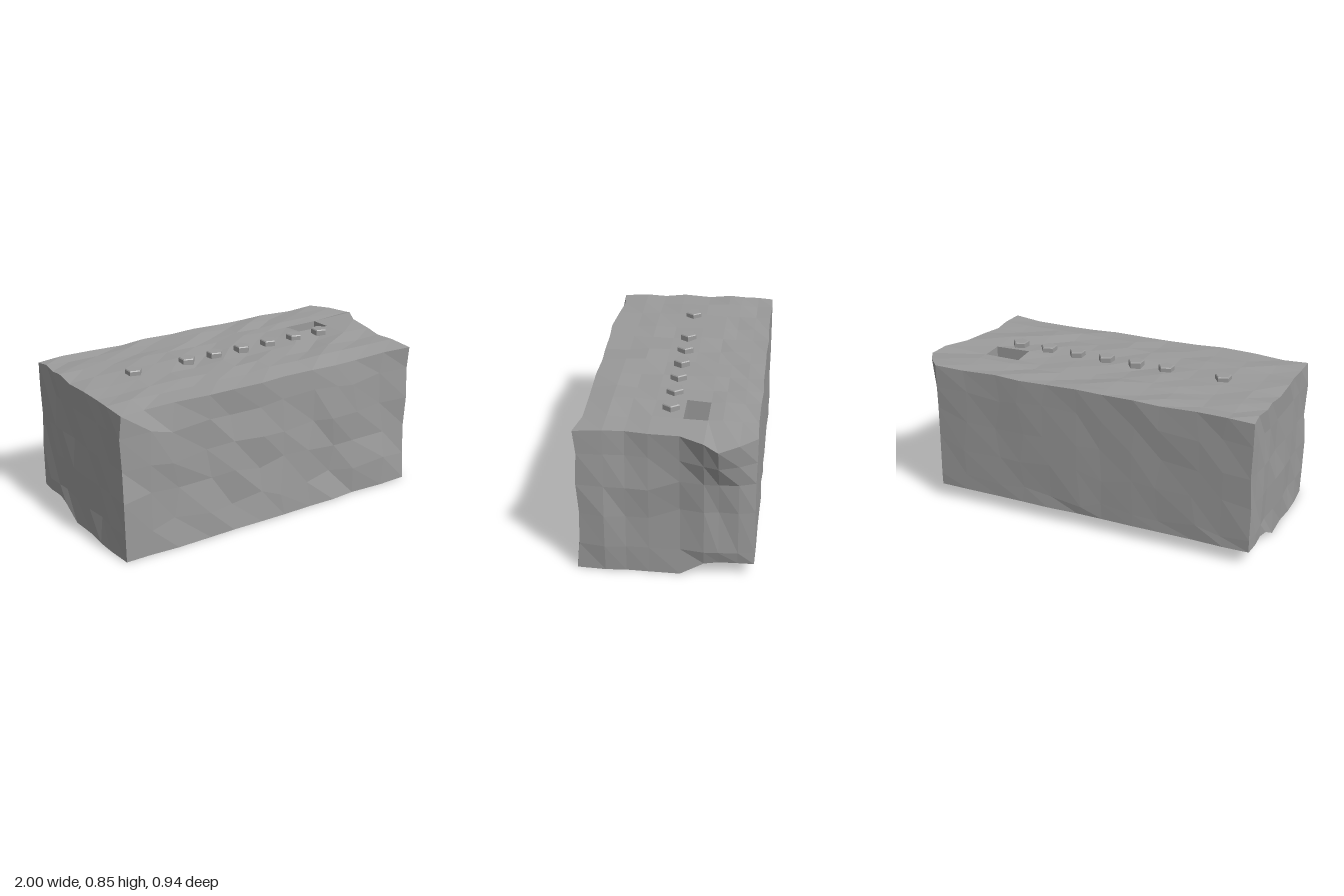
import * as THREE from 'three';

// Lattice lines of the rough block
const X = [-1, -0.85, -0.68, -0.48, -0.33, -0.15, 0, 0.18, 0.34, 0.485, 0.69, 0.86];
const Y = [0, 0.15, 0.33, 0.5, 0.68, 0.82];
const Z = [-0.47, -0.38, -0.28, -0.205, -0.08, 0.08, 0.2, 0.31, 0.47];
const NX = X.length - 1, NY = Y.length - 1, NZ = Z.length - 1;
const HOLE = { i: 9, k: 3, floor: 0.62 };

// Per-column or per-row rules: underside step and bulge on the right end
const UNDER = [0.08, 0.08, 0.08, 0.07, 0, 0, 0, 0, 0];
const BULGE = [0, 0.08, 0.14, 0.1, 0.03, 0.01, -0.015, -0.005, 0];
const BULGE_RISE = [0, 0.05, 0.1, 0.25, 0.65, 1];

function noise(a, b, seed) {
  const s = Math.sin(a * 12.99 + b * 78.23 + seed * 37.7) * 43758.55;
  return s - Math.floor(s);
}

// Weathered position of one lattice point
function point(i, j, k) {
  let x = X[i], y = Y[j], z = Z[k];
  if (j === 0) y = UNDER[k];
  if (j === NY) y += 0.003 - (k === NZ ? 0.01 : 0) - 0.016 * noise(i, k, 1);
  if (k === NZ) z -= (j ? 0.035 : 0.015) * noise(i, j, 2);
  if (k === 0) z += 0.008 * noise(i, j, 3);
  if (i === 0) x += 0.016 * noise(j, k, 4);
  if (i === NX) {
    x += BULGE[k] * BULGE_RISE[j];
    if (k > 0 && k < NZ) x += (j ? 0.026 : 0.01) * noise(j, k, 5) * (1 - BULGE_RISE[j]);
    if (k <= 4 && (j === 2 || j === 3)) y += 0.06;
    if (k === 2 && j === NY) y = 0.797;
  }
  if (j > 0 && j < NY && i > 0 && i < NX && (k === 0 || k === NZ)) {
    x += 0.05 * (noise(i, j, 6) - 0.5);
    y += 0.05 * (noise(i, j, 7) - 0.5);
  }
  return [x, y, z];
}

// Flat-faceted mesh from a list of counter-clockwise quads
function quadMesh(quads, name, material) {
  const positions = [];
  for (const [a, b, c, d] of quads) positions.push(...a, ...b, ...d, ...b, ...c, ...d);
  const geometry = new THREE.BufferGeometry();
  geometry.setAttribute('position', new THREE.Float32BufferAttribute(positions, 3));
  geometry.computeVertexNormals();
  const mesh = new THREE.Mesh(geometry, material);
  mesh.name = name;
  return mesh;
}

// Quads of one block side; at(u, v) runs right and up as seen from outside
function side(nu, nv, at, skip = () => false) {
  const quads = [];
  for (let u = 0; u < nu; u++)
    for (let v = 0; v < nv; v++)
      if (!skip(u, v)) quads.push([at(u, v), at(u + 1, v), at(u + 1, v + 1), at(u, v + 1)]);
  return quads;
}

export function createModel() {
  const group = new THREE.Group();
  group.name = 'roughBlock';
  const material = new THREE.MeshStandardMaterial({ color: 0x9b9b9b, flatShading: true });

  // Six sides of the block, with one top cell left open
  const block = [
    ...side(NX, NY, (u, v) => point(u, v, NZ)),
    ...side(NX, NY, (u, v) => point(NX - u, v, 0)),
    ...side(NZ, NY, (u, v) => point(NX, v, NZ - u)),
    ...side(NZ, NY, (u, v) => point(0, v, u)),
    ...side(NZ, NX, (u, v) => point(v, NY, u), (u, v) => u === HOLE.k && v === HOLE.i),
    ...side(NX, NZ, (u, v) => point(u, 0, v)),
  ];
  group.add(quadMesh(block, 'stoneBlock', material));

  // Rectangular socket sunk into the top
  const { i, k, floor } = HOLE;
  const rim = [point(i, NY, k + 1), point(i + 1, NY, k + 1), point(i + 1, NY, k), point(i, NY, k)];
  const base = rim.map(([x, , z]) => [x, floor, z]);
  const socket = rim.map((p, n) => {
    const m = (n + 1) % 4;
    return [p, rim[m], base[m], base[n]];
  });
  socket.push(base);
  group.add(quadMesh(socket, 'socket', material));

  // Row of five-sided pegs with a slightly tapered cap
  const pegs = new THREE.Group();
  pegs.name = 'pegs';
  const shaft = new THREE.CylinderGeometry(0.047, 0.047, 0.05, 5, 1, false, Math.PI / 2);
  const cap = new THREE.CylinderGeometry(0.042, 0.047, 0.005, 5, 1, false, Math.PI / 2);
  for (const x of [-0.655, -0.325, -0.145, 0.035, 0.215, 0.395, 0.575]) {
    const peg = new THREE.Group();
    peg.name = 'peg';
    const body = new THREE.Mesh(shaft, material);
    body.name = 'pegShaft';
    body.position.y = 0.815;
    const top = new THREE.Mesh(cap, material);
    top.name = 'pegCap';
    top.position.y = 0.8425;
    peg.add(body, top);
    peg.position.set(x, 0, -0.007);
    pegs.add(peg);
  }
  group.add(pegs);
  return group;
}
